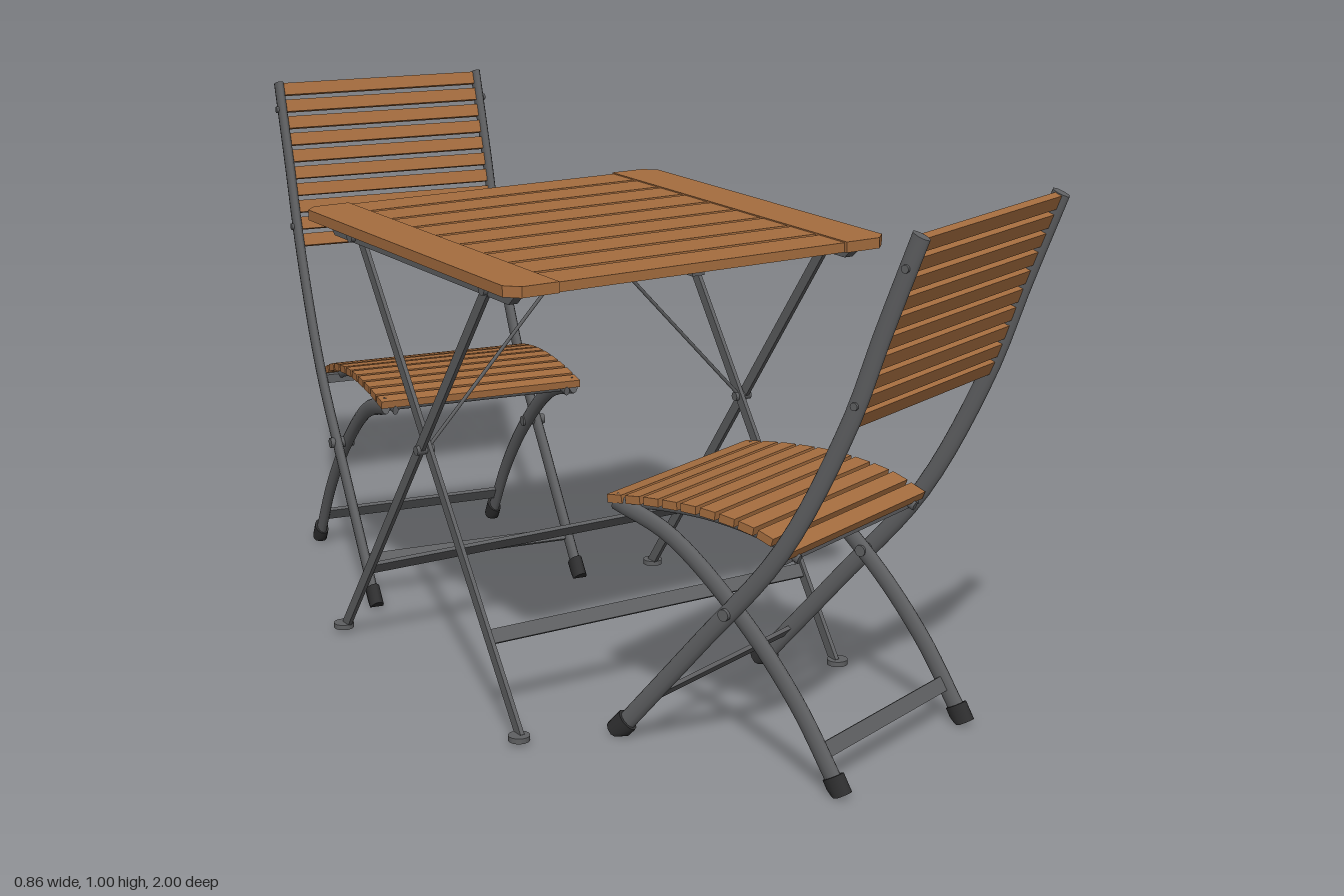
import * as THREE from 'three';

const wood = new THREE.MeshStandardMaterial({ color: 0xa56d3f });
wood.name = 'wood';
const metal = new THREE.MeshStandardMaterial({ color: 0x5f6062 });
metal.name = 'grey metal';
const rubber = new THREE.MeshStandardMaterial({ color: 0x2f2f30 });
rubber.name = 'dark rubber';

function add(parent, name, geometry, material, x = 0, y = 0, z = 0) {
  const mesh = new THREE.Mesh(geometry, material);
  mesh.name = name;
  mesh.position.set(x, y, z);
  parent.add(mesh);
  return mesh;
}
const box = (parent, name, mat, w, h, d, x, y, z) =>
  add(parent, name, new THREE.BoxGeometry(w, h, d), mat, x, y, z);

// Straight bar between two points; its width lies along x for side-plane bars
function bar(parent, name, a, b, width, depth, round = false) {
  const from = new THREE.Vector3(...a), to = new THREE.Vector3(...b);
  const length = from.distanceTo(to);
  const g = round ? new THREE.CylinderGeometry(width / 2, width / 2, length, 8)
    : new THREE.BoxGeometry(width, length, depth);
  const mesh = add(parent, name, g, metal);
  mesh.position.copy(from).add(to).multiplyScalar(0.5);
  mesh.quaternion.setFromUnitVectors(new THREE.Vector3(0, 1, 0), to.sub(from).normalize());
  return mesh;
}

// Curve in the side plane from [z, y] pairs
const sideCurve = pts => new THREE.CatmullRomCurve3(pts.map(([z, y]) => new THREE.Vector3(0, y, z)));

// Oval tube swept along a side-plane curve, kept above the floor
function ovalTube(curve, width, depth, steps = 24, sides = 12) {
  const pos = [], index = [];
  const X = new THREE.Vector3(1, 0, 0);
  const ring = u => {
    const p = curve.getPointAt(u), n = curve.getTangentAt(u).cross(X);
    for (let j = 0; j < sides; j++) {
      const a = j / sides * Math.PI * 2, s = Math.sin(a) * depth / 2;
      pos.push(Math.cos(a) * width / 2, Math.max(0, p.y + n.y * s), p.z + n.z * s);
    }
  };
  for (let i = 0; i <= steps; i++) ring(i / steps);
  for (let i = 0; i < steps; i++) for (let j = 0; j < sides; j++) {
    const a = i * sides + j, b = i * sides + (j + 1) % sides;
    index.push(a, b, b + sides, a, b + sides, a + sides);
  }
  for (const end of [0, 1]) {
    const base = pos.length / 3;
    ring(end);
    for (let j = 1; j < sides - 1; j++) {
      if (end) index.push(base, base + j, base + j + 1);
      else index.push(base, base + j + 1, base + j);
    }
  }
  const g = new THREE.BufferGeometry();
  g.setAttribute('position', new THREE.Float32BufferAttribute(pos, 3));
  g.setIndex(index);
  g.computeVertexNormals();
  return g;
}

// Flat piece across the chair, lying along a side-plane curve
function crossPiece(parent, name, mat, curve, u, length, along, thick, lift = 0) {
  const p = curve.getPointAt(u), t = curve.getTangentAt(u);
  const m = box(parent, name, mat, length, thick, along, 0, p.y + lift, p.z);
  m.rotation.x = -Math.atan2(t.y, t.z);
  return m;
}

function pin(parent, name, radius, length, x, y, z) {
  const m = add(parent, name, new THREE.CylinderGeometry(radius, radius, length, 12), metal, x, y, z);
  m.rotation.z = Math.PI / 2;
  return m;
}

// Chair: local +z is forward, z = 0 at the top of the backrest
function makeChair(name, x, z, degrees) {
  const chair = new THREE.Group();
  chair.name = name;
  const rail = sideCurve([[0, 0.995], [0.063, 0.83], [0.125, 0.66], [0.25, 0.42], [0.42, 0.215], [0.59, 0.015]]);
  const rear = sideCurve([[0.62, 0.432], [0.5, 0.393], [0.35, 0.28], [0.23, 0.15], [0.14, 0.015]]);
  const seat = sideCurve([[0.24, 0.413], [0.31, 0.438], [0.42, 0.452], [0.53, 0.449], [0.63, 0.437]]);
  const railLength = rail.getLength();

  for (const s of [-1, 1]) {
    add(chair, 'backRailAndFrontLeg', ovalTube(rail, 0.019, 0.034), metal, s * 0.225);
    add(chair, 'rearLeg', ovalTube(rear, 0.019, 0.034), metal, s * 0.203);
    add(chair, 'seatRail', ovalTube(seat, 0.012, 0.018), metal, s * 0.185, -0.014);
    // Rubber feet
    add(chair, 'frontFoot', ovalTube(sideCurve([[0.574, 0.034], [0.602, 0.003]]), 0.028, 0.044, 2), rubber, s * 0.225);
    add(chair, 'rearFoot', ovalTube(sideCurve([[0.15, 0.034], [0.132, 0.003]]), 0.028, 0.044, 2), rubber, s * 0.203);
    // Pivot and screw heads
    pin(chair, 'legPivot', 0.011, 0.05, s * 0.216, 0.287, 0.358);
    for (const u of [0.05, 0.27]) {
      const p = rail.getPointAt(u);
      pin(chair, 'railScrew', 0.007, 0.027, s * 0.225, p.y, p.z);
    }
  }
  // Slats
  for (let i = 0; i < 10; i++) {
    crossPiece(chair, 'backSlat', wood, rail, (0.015 + i * 0.0365) / railLength, 0.436, 0.026, 0.014);
    crossPiece(chair, 'seatSlat', wood, seat, 0.04 + i * 0.92 / 9, 0.428, 0.032, 0.015);
  }
  // Stretchers and seat bars
  crossPiece(chair, 'frontStretcher', metal, rail, 0.925, 0.44, 0.026, 0.008);
  crossPiece(chair, 'rearStretcher', metal, rear, 0.9, 0.4, 0.028, 0.008);
  box(chair, 'rearSeatBar', metal, 0.44, 0.018, 0.018, 0, 0.402, 0.262);
  pin(chair, 'frontSeatBar', 0.008, 0.41, 0, 0.424, 0.6);

  chair.position.set(x, 0, z);
  chair.rotation.y = THREE.MathUtils.degToRad(degrees);
  return chair;
}

// Table: local origin at its own centre
function makeTable() {
  const table = new THREE.Group();
  table.name = 'table';
  // Top: nine slats between two end boards with clipped corners
  const pitch = 0.8 / 9;
  for (let i = 0; i < 9; i++)
    box(table, 'topSlat', wood, 0.602, 0.018, pitch - 0.011, 0, 0.841, -0.4 + pitch * (i + 0.5));
  const c = 0.024;
  for (const s of [-1, 1]) {
    const shape = new THREE.Shape([[0.302, -0.4], [0.4 - c, -0.4], [0.4, -0.4 + c], [0.4, 0.4 - c],
      [0.4 - c, 0.4], [0.302, 0.4]].map(([x, y]) => new THREE.Vector2(s * x, y)));
    const board = add(table, 'endBoard', new THREE.ExtrudeGeometry(shape, { depth: 0.02, bevelEnabled: false }), wood, 0, 0.832, 0);
    board.rotation.x = -Math.PI / 2;

    // Steel rail with tapered ends under each end board
    const side = new THREE.Shape([[-0.365, 0.832], [-0.335, 0.806], [0.335, 0.806], [0.365, 0.832]]
      .map(([x, y]) => new THREE.Vector2(x, y)));
    const rail = add(table, 'underRail', new THREE.ExtrudeGeometry(side, { depth: 0.018, bevelEnabled: false }), metal, s * 0.356 - 0.009, 0, 0);
    rail.rotation.y = -Math.PI / 2;
    rail.position.x += 0.018;

    // Crossed legs
    for (const dir of [-1, 1]) {
      const x = s * (dir > 0 ? 0.363 : 0.349);
      bar(table, 'leg', [x, 0.815, dir * 0.255], [x, 0.012, dir * -0.335], 0.008, 0.021);
      add(table, 'legFoot', new THREE.CylinderGeometry(0.02, 0.02, 0.01, 16), metal, x + s * 0.004, 0.012, dir * -0.338);
      pin(table, 'legBolt', 0.011, 0.036, s * 0.356, 0.818, dir * 0.255);
    }
    pin(table, 'crossPivot', 0.009, 0.036, s * 0.356, 0.462, 0);
    bar(table, 'braceRod', [s * 0.348, 0.465, 0], [s * 0.01, 0.82, 0], 0.007, 0.007, true);
  }
  // Centre bar and leg stretchers
  box(table, 'centreBar', metal, 0.026, 0.012, 0.74, 0, 0.826, 0);
  box(table, 'braceBracket', metal, 0.022, 0.03, 0.014, 0, 0.812, 0);
  for (const dir of [-1, 1]) {
    const m = box(table, 'legStretcher', metal, dir > 0 ? 0.726 : 0.7, 0.027, 0.008, 0, 0.164, dir * -0.224);
    m.rotation.x = dir * 0.63;
  }
  table.position.set(-0.03, 0, 0.03);
  return table;
}

export function createModel() {
  const model = new THREE.Group();
  model.name = 'foldingGardenSet';
  model.add(makeTable());
  model.add(makeChair('frontChair', 0.205, 0.908, 200));
  model.add(makeChair('backChair', 0.03, -0.948, -8.7));
  return model;
}
